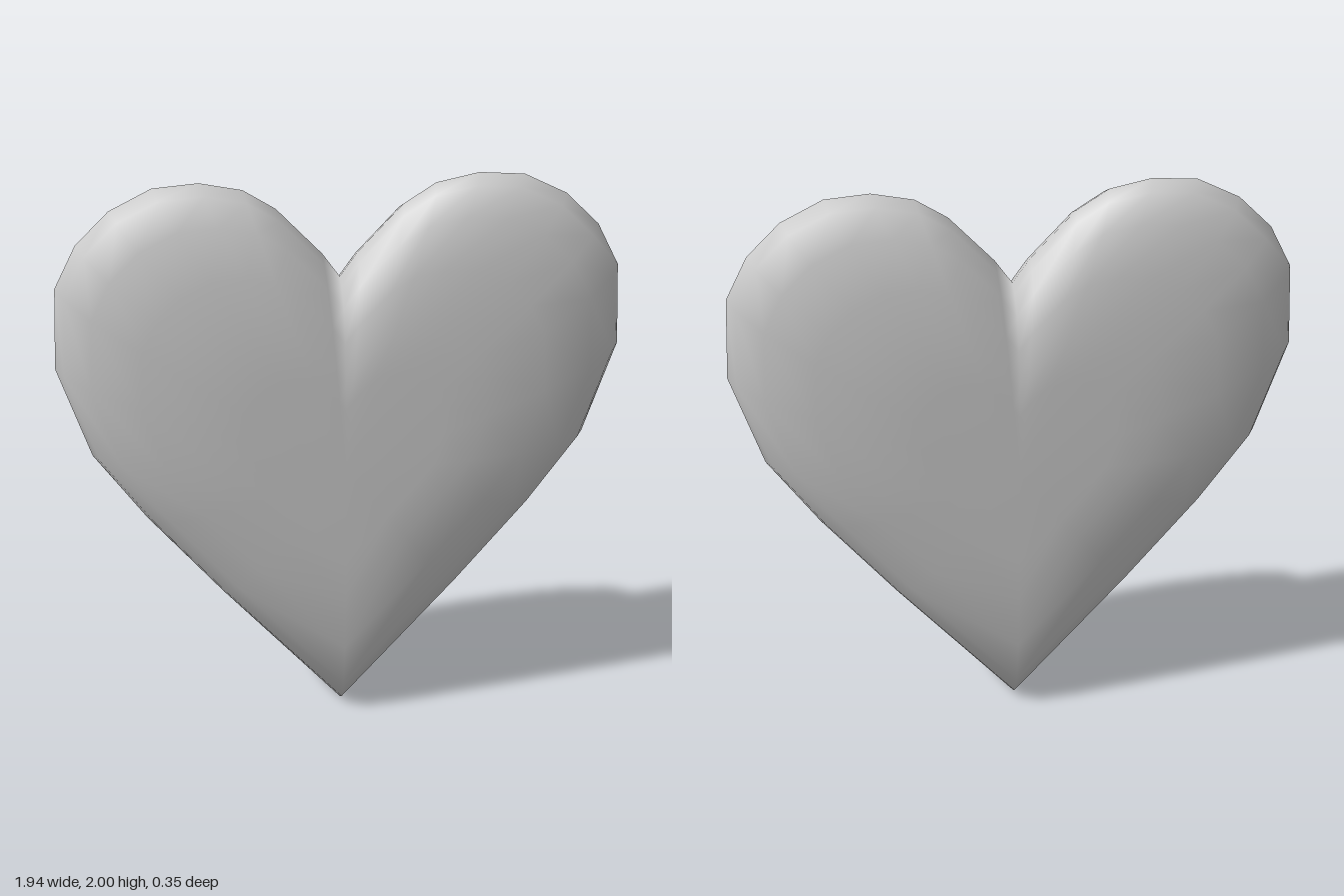
import * as THREE from 'three';

// Right half of the heart outline, from the notch round to the tip
const HALF = [
  [0, 1.65], [0.06, 1.735], [0.215, 1.9], [0.325, 1.97], [0.47, 2], [0.625, 1.988],
  [0.77, 1.915], [0.885, 1.8], [0.96, 1.65], [0.972, 1.36], [0.86, 1.03],
  [0.68, 0.78], [0.42, 0.47], [0, 0],
];
// Pillow profile: outline scale and depth of each ring, rim first
const RINGS = [[0.97, 0.05], [0.88, 0.11], [0.71, 0.148], [0.5, 0.168], [0.35, 0.172]];
const CENTRE_Y = 1;

function heartGeometry() {
  // Full loop, clockwise seen from the front
  const mirrored = HALF.slice(1, -1).reverse().map(([x, y]) => [-x, y]);
  const outline = [...HALF, ...mirrored];
  const n = outline.length;

  // Cross-sections from back to front, with a pole at each end
  const sections = [
    ...RINGS.map(([s, z]) => [s, -z]).reverse(), [1, 0], ...RINGS,
  ];
  const positions = [0, CENTRE_Y, -0.174];
  for (const [s, z] of sections) {
    for (const [x, y] of outline) positions.push(x * s, CENTRE_Y + (y - CENTRE_Y) * s, z);
  }
  const frontPole = positions.length / 3;
  positions.push(0, CENTRE_Y, 0.174);

  const index = [];
  const last = sections.length - 1;
  const at = (ring, i) => 1 + ring * n + (i % n);
  for (let i = 0; i < n; i++) {
    index.push(0, at(0, i), at(0, i + 1));
    for (let r = 0; r < last; r++) {
      const a = at(r, i), b = at(r, i + 1), c = at(r + 1, i + 1), d = at(r + 1, i);
      index.push(a, d, b, b, d, c);
    }
    index.push(frontPole, at(last, i + 1), at(last, i));
  }

  const geometry = new THREE.BufferGeometry();
  geometry.setAttribute('position', new THREE.Float32BufferAttribute(positions, 3));
  geometry.setIndex(index);
  geometry.computeVertexNormals();
  return geometry;
}

export function createModel() {
  const group = new THREE.Group();
  group.name = 'heart';
  const lightGrey = new THREE.MeshStandardMaterial({ color: 0xcccccc });
  lightGrey.name = 'light grey';
  const body = new THREE.Mesh(heartGeometry(), lightGrey);
  body.name = 'heartBody';
  group.add(body);
  return group;
}
